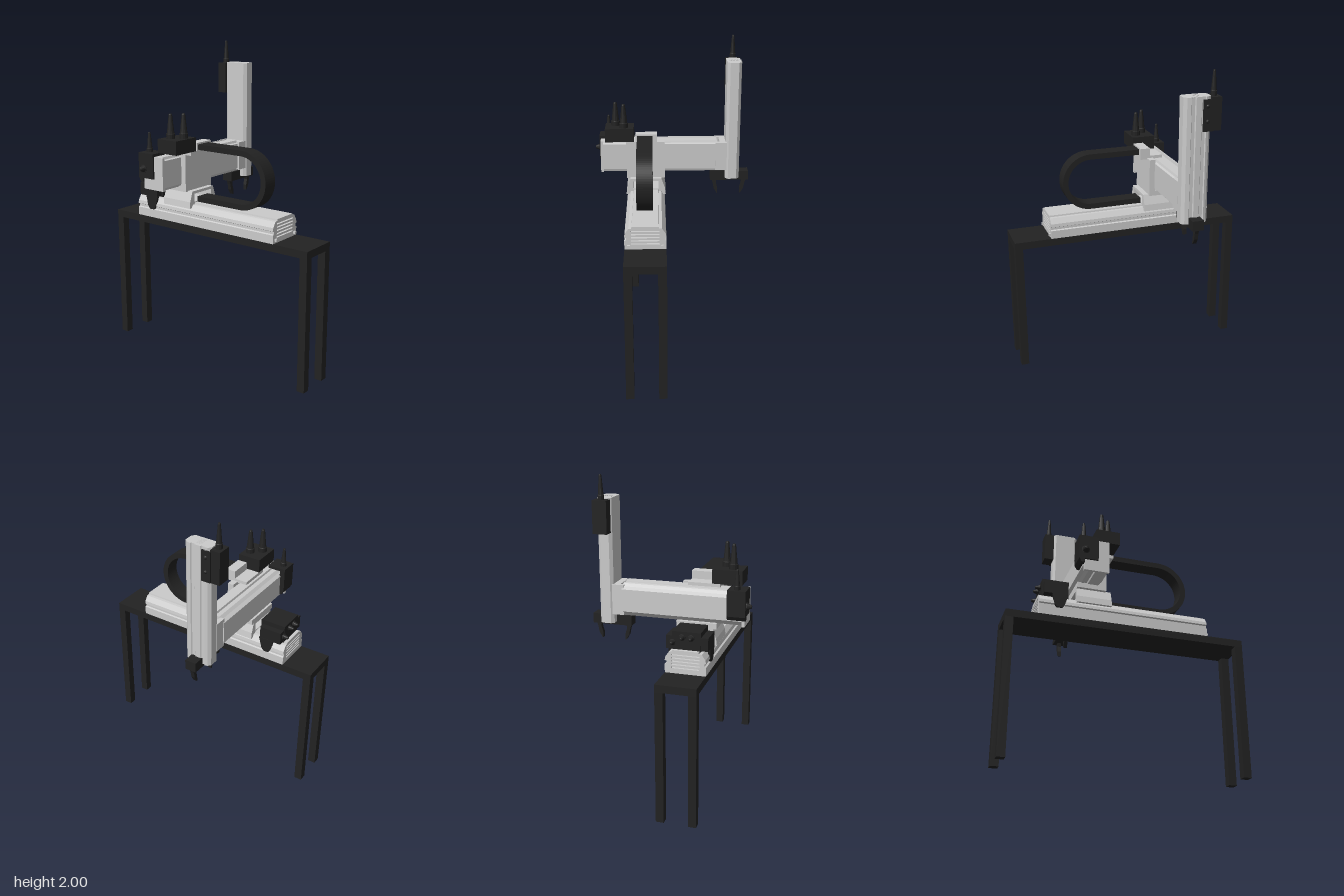
import * as THREE from 'three';

const grey = new THREE.MeshStandardMaterial({ color: 0xcccccc, flatShading: true });
const black = new THREE.MeshStandardMaterial({ color: 0x222222, flatShading: true });

export function createModel() {
  const model = new THREE.Group();

  const add = (name, geometry, material) => {
    const mesh = new THREE.Mesh(geometry, material);
    mesh.name = name;
    model.add(mesh);
    return mesh;
  };
  // Box given by its limits on each axis
  const box = (name, mat, [x0, x1], [y0, y1], [z0, z1]) => {
    const g = new THREE.BoxGeometry(x1 - x0, y1 - y0, z1 - z0);
    return add(name, g.translate((x0 + x1) / 2, (y0 + y1) / 2, (z0 + z1) / 2), mat);
  };
  const outline = (points, holes = []) => {
    const toVectors = (list) => list.map(([a, b]) => new THREE.Vector2(a, b));
    const shape = new THREE.Shape(toVectors(points));
    holes.forEach((h) => shape.holes.push(new THREE.Path(toVectors(h))));
    return shape;
  };
  const rect = (a0, a1, b0, b1) => [[a0, b0], [a1, b0], [a1, b1], [a0, b1]];
  // Extrusions along each axis; section is (x,y), (-z,y) or (x,-z)
  const extrude = (name, mat, axis, shape, from, to) => {
    const g = new THREE.ExtrudeGeometry(shape, { depth: to - from, bevelEnabled: false, curveSegments: 20 });
    g.translate(0, 0, from);
    if (axis === 'x') g.rotateY(Math.PI / 2);
    if (axis === 'y') g.rotateX(-Math.PI / 2);
    return add(name, g, mat);
  };
  // Tapered cable boot with a thicker collar, pointing along +y before rotation
  const cableBoot = (name, x, y, z, length, radius, rx = 0, rz = 0) => {
    const profile = [[0, 0], [1, 0], [1, 0.2], [0.85, 0.22], [0.4, 0.95], [0.3, 1], [0, 1]];
    const g = new THREE.LatheGeometry(profile.map(([r, h]) => new THREE.Vector2(r * radius, h * length)), 12);
    const mesh = add(name, g, black);
    mesh.position.set(x, y, z);
    mesh.rotation.set(rx, 0, rz);
  };

  // Table
  box('tableTop', black, [-0.3, -0.05], [0.84, 0.887], [-0.76, 0.76]);
  for (const x of [-0.3, -0.1]) {
    for (const z of [-0.76, 0.71]) box('tableLeg', black, [x, x + 0.05], [0, 0.84], [z, z + 0.05]);
  }

  // Base rail: mirrored section with side groove and sloping shoulders
  const cx = -0.175;
  const half = [[0.125, 0.887], [0.125, 0.94], [0.115, 0.945], [0.115, 0.96], [0.125, 0.965],
    [0.122, 0.985], [0.1, 1.018], [0.082, 1.02], [0.08, 1.03]];
  const railSection = [...half.map(([a, y]) => [cx + a, y]),
    ...half.slice().reverse().map(([a, y]) => [cx - a, y])];
  extrude('baseRail', grey, 'z', outline(railSection), -0.545, 0.505);
  const vents = [];
  for (let i = 0; i < 5; i++) vents.push(rect(cx - 0.085, cx + 0.085, 0.918 + i * 0.02, 0.926 + i * 0.02));
  extrude('railEndCap', grey, 'z', outline(railSection, vents), 0.505, 0.522);
  extrude('railEndCap', grey, 'z', outline(railSection, vents), -0.562, -0.545);
  for (const s of [-1, 1]) {
    box('endScrew', grey, [cx + s * 0.1 - 0.008, cx + s * 0.1 + 0.008], [0.9, 0.915], [0.522, 0.535]);
  }

  // Carriage riding on the rail, with a window beneath its deck
  extrude('carriageSaddle', grey, 'z', outline(
    [[-0.305, 0.998], [-0.045, 0.998], [-0.05, 1.04], [-0.073, 1.105], [-0.277, 1.105], [-0.3, 1.04]],
    [rect(-0.257, -0.093, 1.036, 1.088)]), -0.33, -0.11);
  box('carriageDeck', grey, [-0.3, -0.05], [1.1, 1.135], [-0.33, -0.145]);
  box('carriagePlate', grey, [-0.3, -0.05], [1.1, 1.345], [-0.185, -0.145]);
  box('topBracket', grey, [-0.3, -0.1], [1.338, 1.36], [-0.25, -0.1]);
  box('chainMount', grey, [-0.24, -0.1], [1.355, 1.41], [-0.165, -0.1]);

  // Cable chain: U-shaped band
  const chain = new THREE.Shape();
  chain.moveTo(0.11, 1.03);
  chain.lineTo(-0.23, 1.03);
  chain.absarc(-0.23, 1.215, 0.185, -Math.PI / 2, Math.PI / 2, true);
  chain.lineTo(0.1, 1.4);
  chain.lineTo(0.1, 1.365);
  chain.lineTo(-0.23, 1.365);
  chain.absarc(-0.23, 1.215, 0.15, Math.PI / 2, -Math.PI / 2, false);
  chain.lineTo(0.11, 1.065);
  extrude('cableChain', black, 'x', chain, -0.228, -0.128);

  // Cross arm: section mirrored about mid-height, grooved on top and bottom
  const cy = 1.235;
  const armHalf = [[0.18, 0.085], [0.195, 0.09], [0.2, 0.105], [0.265, 0.105], [0.268, 0.092],
    [0.285, 0.092], [0.288, 0.105], [0.305, 0.102], [0.32, 0.085], [0.34, 0.07]];
  const armSection = [...armHalf.map(([a, h]) => [a, cy + h]),
    ...armHalf.slice().reverse().map(([a, h]) => [a, cy - h])];
  extrude('crossArm', grey, 'x', outline(armSection), -0.455, 0.295);
  box('armEndCap', grey, [-0.472, -0.455], [1.13, 1.34], [-0.335, -0.18]);

  // Bracket joining arm and column
  box('columnBracket', grey, [0.312, 0.36], [1.14, 1.33], [-0.335, -0.17]);
  for (const z of [-0.335, -0.197]) box('bracketJaw', grey, [0.285, 0.312], [1.14, 1.33], [z, z + 0.027]);

  // Arm motor at the right end, tapered beneath
  extrude('armMotor', black, 'x', outline(
    [[0.25, 1.34], [0.25, 1.358], [0.37, 1.358], [0.37, 1.2], [0.355, 1.175], [0.335, 1.175], [0.335, 1.34]]),
    -0.482, -0.37);
  box('armMotorCover', black, [-0.482, -0.472], [1.2, 1.35], [-0.345, -0.25]);
  cableBoot('armMotorBoot', -0.422, 1.355, -0.33, 0.125, 0.02);
  cableBoot('armSideBoot', -0.478, 1.26, -0.33, 0.035, 0.026, 0, Math.PI / 2);

  // Upper connector box with two boots
  box('connectorBox', black, [-0.435, -0.25], [1.36, 1.447], [-0.25, -0.1]);
  for (const [x, z] of [[-0.37, -0.2], [-0.315, -0.142]]) cableBoot('connectorBoot', x, 1.445, z, 0.155, 0.028);

  // Base motor behind the carriage, straddling the rail
  box('baseMotor', black, [-0.262, -0.09], [1.025, 1.14], [-0.54, -0.375]);
  box('baseMotorFlange', black, [-0.305, -0.05], [1.03, 1.11], [-0.535, -0.39]);
  for (const x of [-0.305, -0.062]) {
    extrude('baseMotorStrap', black, 'x',
      outline([[0.385, 1.035], [0.405, 0.965], [0.42, 0.943], [0.455, 0.943], [0.47, 0.965], [0.485, 1.035]]),
      x, x + 0.015);
  }
  for (const x of [-0.205, -0.15]) cableBoot('baseMotorBoot', x, 1.105, -0.538, 0.035, 0.02, -Math.PI / 2);
  cableBoot('baseMotorBoot', -0.09, 1.07, -0.535, 0.035, 0.02, -Math.PI / 2);

  // Vertical column with rounded corners, side grooves and a vented cap
  const columnSection = [[0.352, 0.185], [0.37, 0.167], [0.425, 0.167], [0.442, 0.185], [0.447, 0.21],
    [0.44, 0.215], [0.44, 0.235], [0.447, 0.24], [0.447, 0.275], [0.44, 0.28], [0.44, 0.3], [0.447, 0.305],
    [0.442, 0.322], [0.425, 0.338], [0.37, 0.338], [0.352, 0.322]];
  extrude('column', grey, 'y', outline(columnSection), 1.08, 1.843);
  const slits = [];
  for (let i = 0; i < 6; i++) slits.push(rect(0.37 + i * 0.01, 0.374 + i * 0.01, 0.235, 0.27));
  extrude('columnCap', grey, 'y', outline(columnSection, slits), 1.843, 1.857);

  // Column motor with cable boot and side buttons
  box('columnMotor', black, [0.355, 0.445], [1.65, 1.85], [-0.402, -0.338]);
  box('columnMotorSide', black, [0.442, 0.452], [1.65, 1.84], [-0.345, -0.285]);
  cableBoot('columnMotorBoot', 0.4, 1.848, -0.367, 0.152, 0.02);
  for (const y of [1.71, 1.8]) cableBoot('columnSideBoot', 0.447, y, -0.312, 0.012, 0.016, 0, -Math.PI / 2);

  // Gripper: body and two mirrored hooked fingers
  box('gripperBody', black, [0.255, 0.51], [1.057, 1.12], [-0.285, -0.212]);
  const finger = [[0.118, 1.06], [0.083, 1.06], [0.086, 1.03], [0.075, 0.99], [0.075, 0.955], [0.08, 0.955],
    [0.1, 0.99], [0.108, 1.03]];
  for (const s of [-1, 1]) {
    extrude('gripperFinger', black, 'z', outline(finger.map(([a, y]) => [0.382 + s * a, y])), -0.26, -0.235);
  }

  return model;
}
